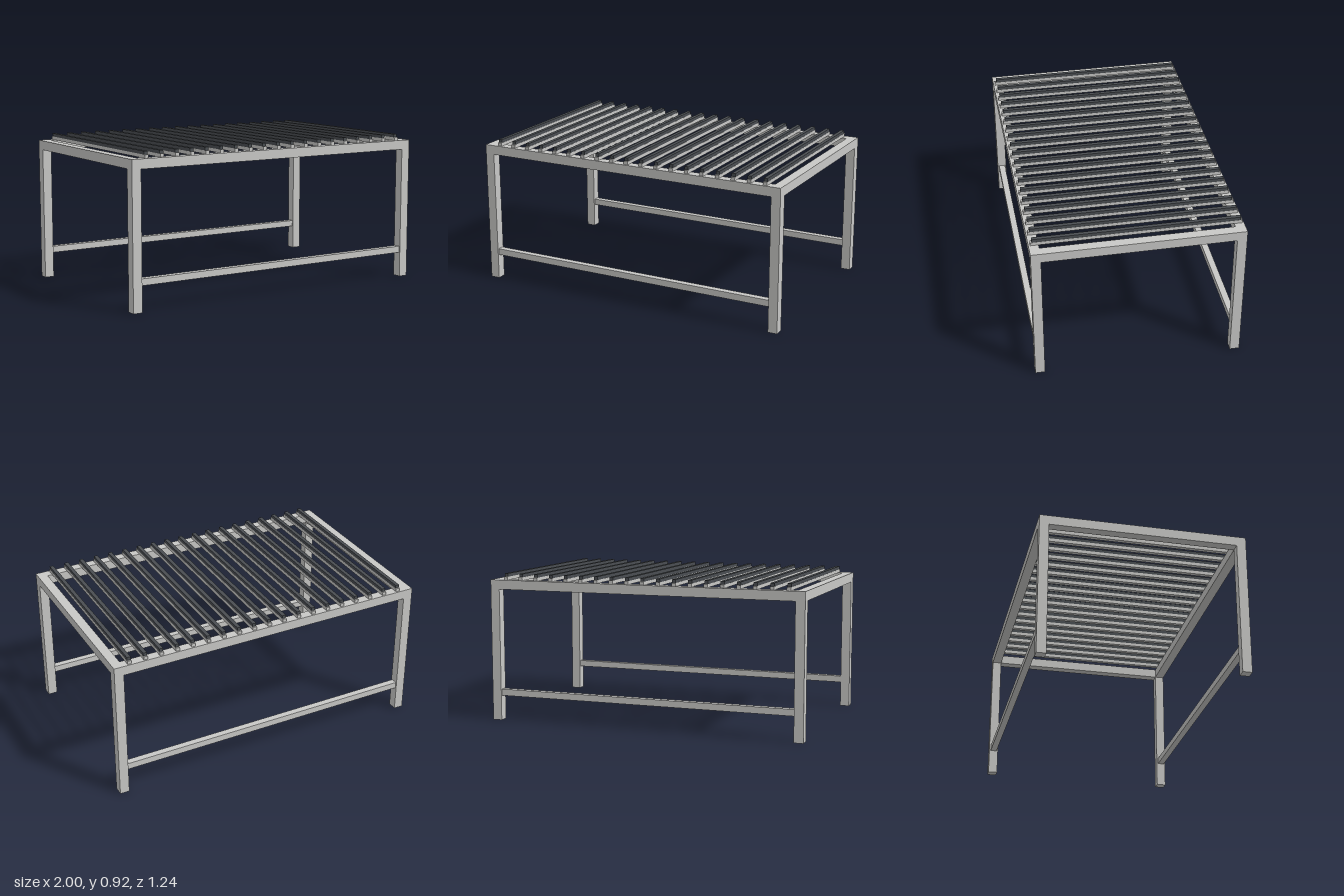
import * as THREE from 'three';

export function createModel() {
  const model = new THREE.Group();
  const steel = new THREE.MeshStandardMaterial({ color: 0xc8c8c6 });
  steel.name = 'light grey steel';
  const dark = new THREE.MeshStandardMaterial({ color: 0x4a4e52 });
  dark.name = 'dark slate strip';

  const box = (name, material, size, position) => {
    const mesh = new THREE.Mesh(new THREE.BoxGeometry(...size), material);
    mesh.name = name;
    mesh.position.set(...position);
    model.add(mesh);
  };

  const T = 0.058;              // square tube thickness
  const X = 1, Z = 0.622;       // half extents of the frame
  const H = 0.88;               // top of the frame
  const cx = X - T / 2, cz = Z - T / 2;

  for (const s of [-1, 1]) {
    // corner legs, up to the underside of the top frame
    for (const t of [-1, 1]) {
      box('leg', steel, [T, H - T, T], [s * cx, (H - T) / 2, t * cz]);
    }
    // top frame: long rails run through, end rails fit between them
    box('longRail', steel, [2 * X, T, T], [0, H - T / 2, s * cz]);
    box('endRail', steel, [T, T, 2 * (Z - T)], [s * cx, H - T / 2, 0]);
    // low stretcher between the legs of each long side
    box('stretcher', steel, [2 * (X - T), 0.04, 0.04], [0, 0.175, s * cz]);
  }

  // slats across the frame, each topped with a dark strip
  for (let i = -9; i <= 9; i++) {
    box('slat', steel, [0.025, 0.02, 1.224], [i * 0.1, H + 0.01, 0]);
    box('slatStrip', dark, [0.023, 0.02, 1.206], [i * 0.1, H + 0.03, 0]);
  }
  return model;
}
